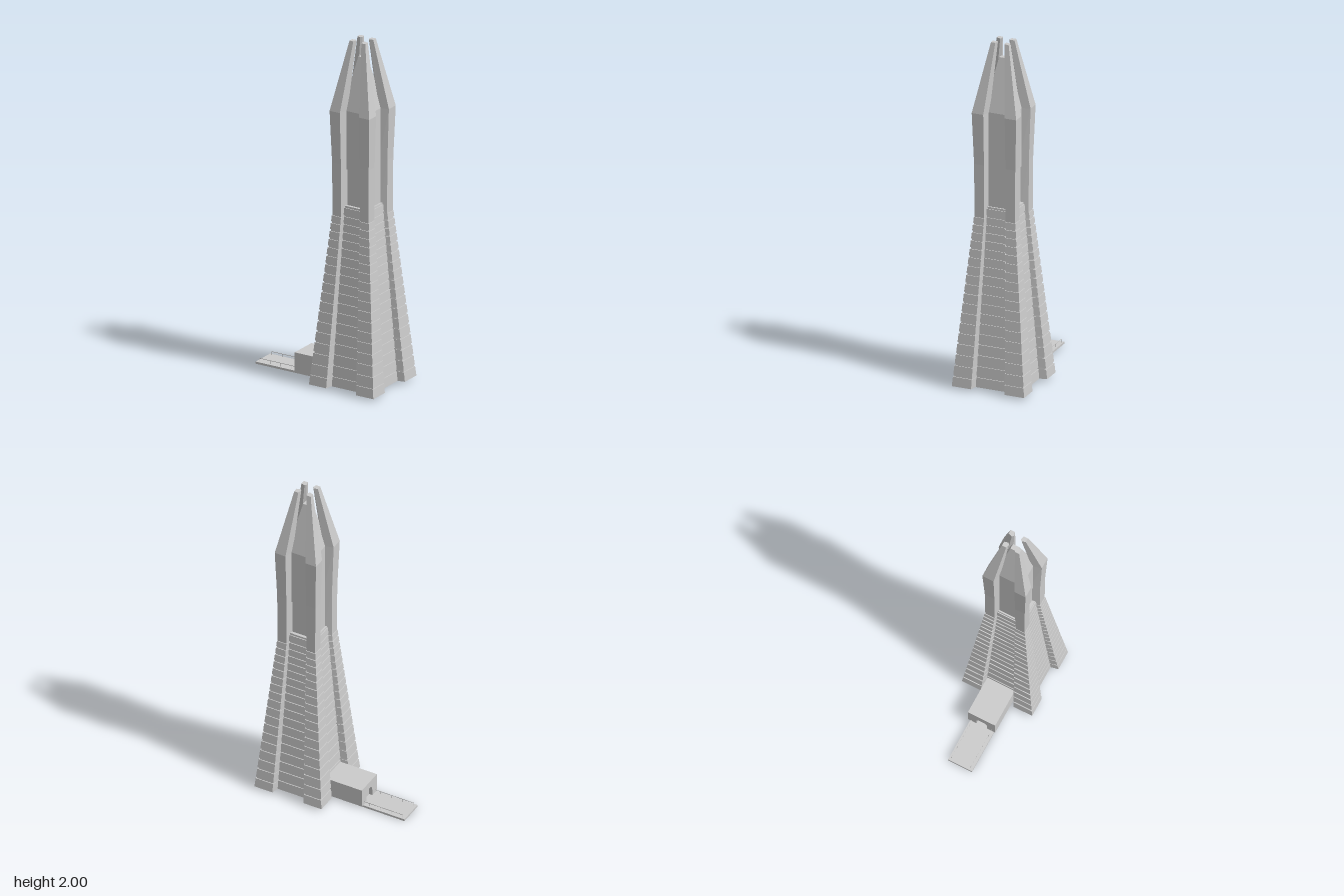
import * as THREE from 'three';

const CX = 0.2175;   // tower axis
const SX = 0.967;    // tower is slightly narrower in x than in z
const material = new THREE.MeshStandardMaterial({ color: 0xcccccc, flatShading: true });

function add(parent, geometry, name, x = 0, y = 0, z = 0) {
  const mesh = new THREE.Mesh(geometry, material);
  mesh.name = name;
  mesh.position.set(x, y, z);
  parent.add(mesh);
  return mesh;
}

const box = (x0, x1, y0, y1, z0, z1) =>
  new THREE.BoxGeometry(x1 - x0, y1 - y0, z1 - z0)
    .translate((x0 + x1) / 2, (y0 + y1) / 2, (z0 + z1) / 2);

// Skins a stack of horizontal rings { y, pts: [[x, z], ...] } and caps both ends
function loft(rings) {
  const pos = [];
  const put = (ring, i) => pos.push(ring.pts[i][0], ring.y, ring.pts[i][1]);
  const n = rings[0].pts.length;
  for (let r = 0; r + 1 < rings.length; r++) {
    const a = rings[r], b = rings[r + 1];
    for (let i = 0; i < n; i++) {
      const j = (i + 1) % n;
      put(a, i); put(a, j); put(b, j);
      put(a, i); put(b, j); put(b, i);
    }
  }
  const bottom = rings[0], top = rings[rings.length - 1];
  for (let i = 1; i + 1 < n; i++) {
    put(bottom, 0); put(bottom, i + 1); put(bottom, i);
    put(top, 0); put(top, i); put(top, i + 1);
  }
  const g = new THREE.BufferGeometry();
  g.setAttribute('position', new THREE.Float32BufferAttribute(pos, 3));
  g.computeVertexNormals();
  return g;
}

// Linear rules for the lower tower
const lerp = (a, b, t) => a + (b - a) * t;
const along = (y) => (y - 0.015) / 0.985;
const outer = (y) => lerp(0.213, 0.12, along(y));
const gap = (y) => lerp(0.102, 0.064, along(y));
const core = (y) => lerp(0.17, 0.1, along(y));

// Band edges, shorter towards the top
function bandEdges(count) {
  const ys = [0.015];
  const heights = Array.from({ length: count }, (_, i) => lerp(0.064, 0.043, i / (count - 1)));
  const sum = heights.reduce((s, h) => s + h, 0);
  heights.forEach((h) => ys.push(ys[ys.length - 1] + h * 0.985 / sum));
  return ys;
}

// Each band is a sloping course with a narrow groove above it
function bandProfile(edges, makeRing) {
  const rings = [];
  for (let i = 0; i + 1 < edges.length; i++) {
    const y0 = edges[i], y1 = edges[i + 1], g = y1 - 0.011;
    rings.push(makeRing(y0, 0.003), makeRing(g, 0.003), makeRing(g, -0.002), makeRing(y1, -0.002));
  }
  return rings;
}

const squareRing = (y, hx, hz = hx) =>
  ({ y, pts: [[hx, hz], [hx, -hz], [-hx, -hz], [-hx, hz]] });

// Five-sided pillar section: outer corner, two faces, chamfered inner side
function pillarRing(y, w, g, inner, c, sx, sz) {
  const pts = [[w, w], [w, g], [c, inner], [inner, c], [g, w]].map(([x, z]) => [x * sx, z * sz]);
  if (sx * sz < 0) pts.reverse();
  return { y, pts };
}

export function createModel() {
  const model = new THREE.Group();
  model.name = 'tower';
  const tower = new THREE.Group();
  tower.name = 'towerBody';
  tower.position.x = CX;
  tower.scale.x = SX;
  model.add(tower);

  const edges = bandEdges(18);

  // Banded core, then the smooth core rising to a blunt point
  add(tower, loft(bandProfile([...edges, 1.05], (y, d) => squareRing(y, core(y) + d))), 'bandedCore');
  add(tower, loft([
    squareRing(1.04, 0.085, 0.078), squareRing(1.26, 0.085, 0.078),
    squareRing(1.26, 0.085), squareRing(1.6, 0.085), squareRing(1.905, 0.015, 0.02),
  ]), 'upperCore');

  // Four mirrored corner pillars
  for (const sx of [-1, 1]) for (const sz of [-1, 1]) {
    const pillar = new THREE.Group();
    pillar.name = 'cornerPillar';
    tower.add(pillar);
    add(pillar, loft(bandProfile(edges, (y, d) =>
      pillarRing(y, outer(y) + d, gap(y) - d / 2, gap(y) - 0.014, core(y) - 0.012, sx, sz))), 'bandedPillar');
    const shaft = [
      [0.99, 0.121, 0.064, 0.05, 0.075],
      [1.3, 0.123, 0.064, 0.05, 0.075],
      [1.6, 0.133, 0.064, 0.05, 0.077],
      [2.0, 0.053, 0.027, 0.021, 0.03],
    ];
    add(pillar, loft(shaft.map((s) => pillarRing(...s, sx, sz))), 'pillarShaft');
  }

  // Entrance hall with an arched doorway in its end wall
  const hall = new THREE.Group();
  hall.name = 'entranceHall';
  model.add(hall);
  add(hall, box(-0.15, 0.09, 0.012, 0.122, -0.085, 0.083), 'hallBody');
  const wall = new THREE.Shape();
  wall.moveTo(-0.085, 0.012);
  wall.lineTo(-0.032, 0.012);
  wall.lineTo(-0.032, 0.05);
  wall.absarc(0, 0.05, 0.032, Math.PI, 0, true);
  wall.lineTo(0.032, 0.012);
  wall.lineTo(0.083, 0.012);
  wall.lineTo(0.083, 0.122);
  wall.lineTo(-0.085, 0.122);
  const wallGeometry = new THREE.ExtrudeGeometry(wall, { depth: 0.02, bevelEnabled: false, curveSegments: 10 });
  wallGeometry.rotateY(-Math.PI / 2);
  add(hall, wallGeometry, 'doorwayWall', -0.15);

  // Low walkway with railings
  const walkway = new THREE.Group();
  walkway.name = 'walkway';
  model.add(walkway);
  add(walkway, box(-0.428, 0.02, 0, 0.012, -0.071, 0.076), 'walkwaySlab');
  for (const z of [-0.06, 0.061]) {
    add(walkway, box(-0.412, -0.17, 0.029, 0.032, z - 0.001, z + 0.001), 'handrail');
    for (const x of [-0.411, -0.342, -0.273, -0.204])
      add(walkway, box(x - 0.001, x + 0.001, 0.01, 0.03, z - 0.001, z + 0.001), 'railPost');
  }
  return model;
}
